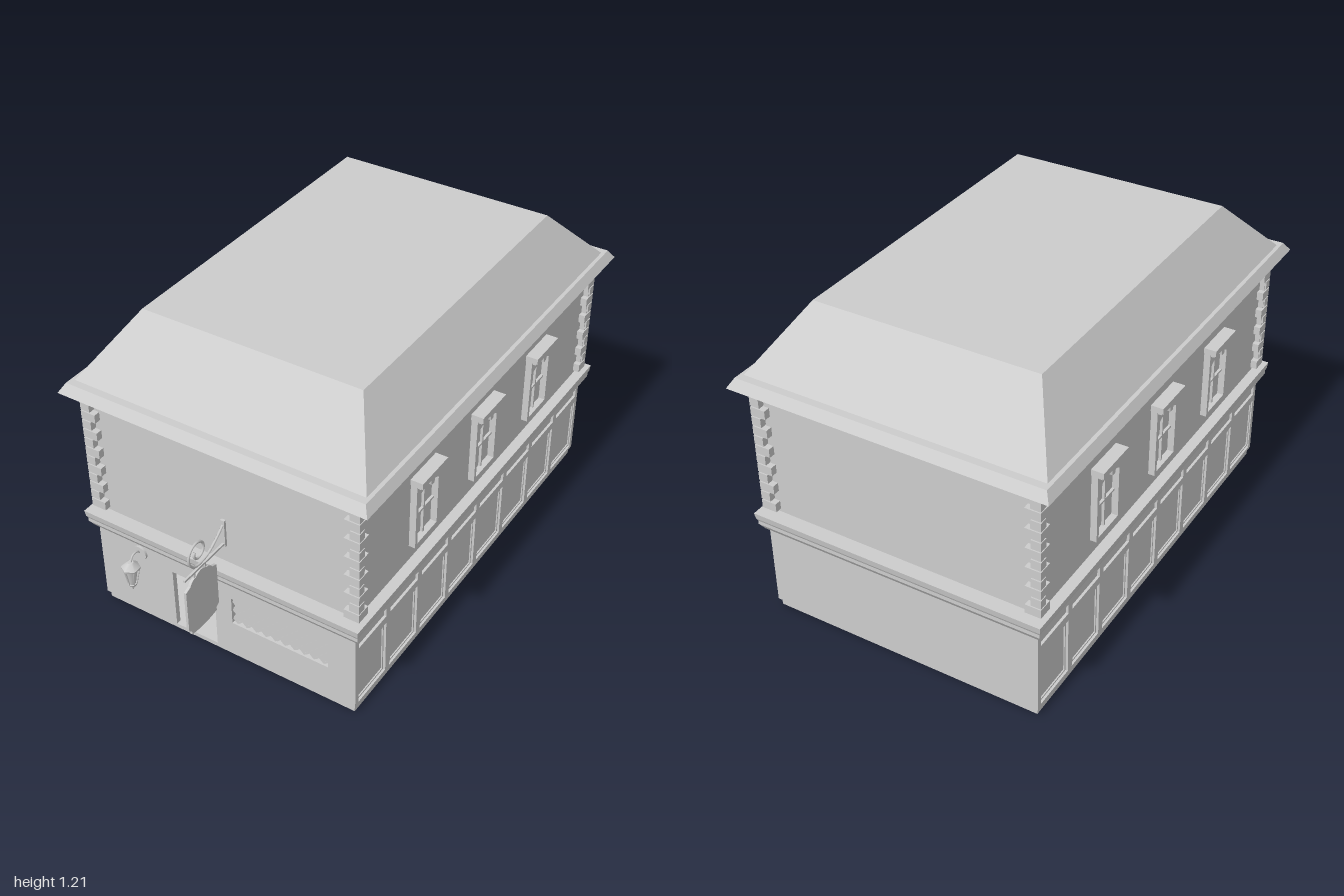
import * as THREE from 'three';

const stone = new THREE.MeshStandardMaterial({ color: 0xcccccc, side: THREE.DoubleSide });
stone.name = 'plain grey';

function add(parent, name, geo, x = 0, y = 0, z = 0) {
  const m = new THREE.Mesh(geo, stone);
  m.name = name;
  m.position.set(x, y, z);
  parent.add(m);
  return m;
}
// box given by its limits
function box(parent, name, x0, x1, y0, y1, z0, z1) {
  return add(parent, name, new THREE.BoxGeometry(x1 - x0, y1 - y0, z1 - z0),
    (x0 + x1) / 2, (y0 + y1) / 2, (z0 + z1) / 2);
}
function group(parent, name, x = 0, y = 0, z = 0) {
  const g = new THREE.Group();
  g.name = name;
  g.position.set(x, y, z);
  parent.add(g);
  return g;
}
function rect(x0, x1, y0, y1, T = THREE.Path) {
  const p = new T();
  p.moveTo(x0, y0); p.lineTo(x1, y0); p.lineTo(x1, y1); p.lineTo(x0, y1); p.closePath();
  return p;
}
const extrude = (shape, depth) => new THREE.ExtrudeGeometry(shape, { depth, bevelEnabled: false, curveSegments: 10 });

// stack of rectangular rings [y, halfX, halfZ], closed at both ends
function loft(rings) {
  const pos = [];
  const corners = ([y, a, b]) => [[-a, y, b], [a, y, b], [a, y, -b], [-a, y, -b]];
  const quad = (a, b, c, d) => pos.push(...a, ...b, ...c, ...a, ...c, ...d);
  for (let i = 0; i < rings.length - 1; i++) {
    const p = corners(rings[i]), q = corners(rings[i + 1]);
    for (let k = 0; k < 4; k++) quad(p[k], p[(k + 1) % 4], q[(k + 1) % 4], q[k]);
  }
  const lo = corners(rings[0]), hi = corners(rings[rings.length - 1]);
  quad(lo[3], lo[2], lo[1], lo[0]);
  quad(...hi);
  const g = new THREE.BufferGeometry();
  g.setAttribute('position', new THREE.Float32BufferAttribute(pos, 3));
  g.computeVertexNormals();
  return g;
}

// side wall: panelled ground floor and three upper windows, facing local +z
function buildSide(parent, dir) {
  const side = group(parent, dir > 0 ? 'leftSide' : 'rightSide');
  side.rotation.y = dir * Math.PI / 2;
  const wall = rect(-0.86, 0.86, 0.03, 0.365, THREE.Shape);
  for (let i = 0; i < 8; i++) {
    const c = (i - 3.5) * 0.2155;
    wall.holes.push(rect(c - 0.094, c + 0.094, 0.042, 0.272), rect(c - 0.094, c + 0.094, 0.303, 0.345));
    const trim = rect(c - 0.086, c + 0.086, 0.05, 0.264, THREE.Shape);
    trim.holes.push(rect(c - 0.08, c + 0.08, 0.056, 0.258));
    add(side, 'panelMoulding', extrude(trim, 0.005), 0, 0, 0.535);
  }
  add(side, 'panelFrame', extrude(wall, 0.02), 0, 0, 0.525);
  box(side, 'panelInfill', -0.855, 0.855, 0.035, 0.36, 0.53, 0.535);
  for (const c of [-0.422, 0, 0.422]) {
    const win = group(side, 'sideWindow', c, 0, 0.53);
    const frame = rect(-0.081, 0.081, 0.5, 0.775, THREE.Shape);
    const arch = new THREE.Path();
    arch.moveTo(-0.067, 0.512); arch.lineTo(0.067, 0.512); arch.lineTo(0.067, 0.715);
    arch.quadraticCurveTo(0, 0.755, -0.067, 0.715); arch.closePath();
    frame.holes.push(arch);
    add(win, 'windowFrame', extrude(frame, 0.03));
    box(win, 'lintel', -0.085, 0.085, 0.772, 0.795, 0, 0.053);
    box(win, 'lintelBed', -0.078, 0.078, 0.762, 0.772, 0, 0.044);
    const key = new THREE.Shape();
    key.moveTo(-0.009, 0.737); key.lineTo(0.009, 0.737); key.lineTo(0.016, 0.775); key.lineTo(-0.016, 0.775);
    add(win, 'keystone', extrude(key, 0.045));
    box(win, 'mullion', -0.004, 0.004, 0.51, 0.737, 0, 0.015);
    box(win, 'transom', -0.067, 0.067, 0.615, 0.623, 0, 0.015);
  }
}

// alternating corner blocks
function buildQuoins(parent, sx, sz) {
  const g = group(parent, 'cornerQuoins', sx * 0.56, 0, sz * 0.865);
  const n = 13, h = 0.505 / n;
  add(g, 'quoinCore', new THREE.BoxGeometry(0.03, 0.505, 0.03), -sx * 0.02, 0.6975, -sz * 0.02);
  for (let i = 0; i < n; i++) {
    const a = i % 2 ? 0.038 : 0.06, b = i % 2 ? 0.032 : 0.056;
    add(g, 'quoin', new THREE.BoxGeometry(a, h - 0.005, b), -sx * a / 2, 0.445 + (i + 0.5) * h, -sz * b / 2);
  }
}

function buildFront(parent) {
  const front = group(parent, 'shopFront');
  const wall = rect(-0.545, 0.545, 0.03, 0.365, THREE.Shape);
  wall.holes.push(rect(-0.22, -0.037, 0.0305, 0.285), rect(0.035, 0.435, 0.168, 0.285));
  add(front, 'frontWall', extrude(wall, 0.02), 0, 0, 0.84);
  box(front, 'latticeBacking', 0.03, 0.44, 0.163, 0.29, 0.835, 0.84);
  // diagonal lattice clipped to the window, mirrored for the second direction
  const w = 0.4, h = 0.117;
  for (const s of [1, -1]) for (let c = -0.1; c < w; c += 0.04) {
    const a = Math.max(0, c), b = Math.min(w, c + h);
    if (b - a < 0.01) continue;
    const bar = add(front, 'latticeBar', new THREE.BoxGeometry((b - a) * Math.SQRT2, 0.006, 0.008),
      0.235 + s * ((a + b) / 2 - w / 2), 0.168 + (a + b) / 2 - c, s > 0 ? 0.846 : 0.849);
    bar.rotation.z = s * Math.PI / 4;
  }
}

function buildInterior(parent) {
  const bar = group(parent, 'barRoom');
  box(bar, 'floor', -0.525, 0.525, 0.015, 0.03, -0.235, 0.845);
  box(bar, 'partitionLeft', 0.3, 0.525, 0.01, 0.365, -0.25, -0.235);
  box(bar, 'partitionRight', -0.525, 0.12, 0.01, 0.365, -0.25, -0.235);
  box(bar, 'partitionHead', 0.12, 0.3, 0.285, 0.365, -0.25, -0.235);
  box(bar, 'counterBody', -0.45, 0.15, 0.03, 0.155, 0.2, 0.3);
  box(bar, 'counterTop', -0.46, 0.16, 0.155, 0.167, 0.19, 0.32);
  box(bar, 'counterRail', -0.45, 0.15, 0.112, 0.122, 0.3, 0.312);
  for (let x = -0.42; x < 0.14; x += 0.1) {
    const panel = rect(x - 0.043, x + 0.043, 0.036, 0.105, THREE.Shape);
    panel.holes.push(rect(x - 0.034, x + 0.034, 0.045, 0.096));
    add(bar, 'counterPanel', extrude(panel, 0.008), 0, 0, 0.3);
  }
  for (let x = -0.43; x < 0.15; x += 0.04) box(bar, 'counterBracket', x, x + 0.006, 0.122, 0.155, 0.3, 0.31);
  box(bar, 'bottleShelf', -0.3, 0.06, 0.185, 0.195, -0.235, -0.12);
  box(bar, 'shelfRail', -0.21, -0.045, 0.195, 0.235, -0.232, -0.225);
  for (let i = 0; i < 7; i++) {
    const r = i === 3 ? 0.017 : 0.011, h = [0.075, 0.08, 0.065, 0.08, 0.055, 0.06, 0.055][i];
    const p = [[0, 0], [r, 0], [r, h * 0.6], [0.004, h * 0.78], [0.004, h], [0, h]];
    add(bar, 'bottle', new THREE.LatheGeometry(p.map(q => new THREE.Vector2(...q)), 10),
      -0.205 + i * 0.025, 0.195, -0.18);
  }
}

// hanging board on a scrolled bracket
function buildSign(root) {
  const sign = group(root, 'hangingSign', 0.02, 0, 0);
  sign.rotation.y = -Math.PI / 2; // local x runs outward, local z across
  const s = new THREE.Shape();
  s.moveTo(0.845, 0.285); s.quadraticCurveTo(0.915, 0.27, 0.985, 0.285); s.lineTo(0.985, 0.3); s.lineTo(1, 0.31);
  s.lineTo(1, 0.485); s.lineTo(0.975, 0.495); s.quadraticCurveTo(0.965, 0.515, 0.945, 0.515);
  s.quadraticCurveTo(0.915, 0.54, 0.885, 0.515); s.quadraticCurveTo(0.865, 0.515, 0.855, 0.495);
  s.lineTo(0.83, 0.485); s.lineTo(0.83, 0.31); s.lineTo(0.845, 0.3); s.closePath();
  add(sign, 'signBoard', extrude(s, 0.01), 0, 0, -0.005);
  box(sign, 'bracketRod', 0.77, 1, 0.533, 0.541, -0.004, 0.004);
  for (const x of [0.885, 0.945]) box(sign, 'signHanger', x - 0.003, x + 0.003, 0.51, 0.536, -0.003, 0.003);
  const pts = [new THREE.Vector3(0.77, 0.625, 0), new THREE.Vector3(0.82, 0.585, 0), new THREE.Vector3(0.87, 0.557, 0)];
  for (let i = 0; i <= 20; i++) {
    const a = -Math.PI / 2 + i * 0.42, r = 0.056 - i * 0.002;
    pts.push(new THREE.Vector3(0.92 + r * Math.cos(a), 0.607 + r * Math.sin(a), 0));
  }
  add(sign, 'scroll', new THREE.TubeGeometry(new THREE.CatmullRomCurve3(pts), 90, 0.005, 6));
  box(sign, 'wallPlate', 0.77, 0.78, 0.525, 0.64, -0.008, 0.008);
}

function buildLantern(root) {
  const l = group(root, 'wallLantern', -0.36, 0, 0.835);
  const hex = (name, rt, rb, y0, y1) => add(l, name, new THREE.CylinderGeometry(rt, rb, y1 - y0, 6), 0, (y0 + y1) / 2, 0);
  hex('lanternCap', 0.012, 0.036, 0.288, 0.31);
  hex('lanternRim', 0.036, 0.034, 0.28, 0.288);
  hex('lanternGlass', 0.024, 0.012, 0.21, 0.28);
  hex('lanternBase', 0.018, 0.014, 0.2, 0.21);
  hex('lanternFinial', 0.008, 0.002, 0.18, 0.2);
  for (let i = 0; i < 6; i++) {
    const a = i * Math.PI / 3;
    const at = (r, y) => new THREE.Vector3(r * Math.sin(a), y, r * Math.cos(a));
    add(l, 'lanternBar', new THREE.TubeGeometry(new THREE.LineCurve3(at(0.031, 0.282), at(0.016, 0.208)), 1, 0.0025, 4));
  }
  const arm = new THREE.CatmullRomCurve3([[0, 0.305, 0], [0, 0.33, -0.015], [0, 0.33, -0.04], [0, 0.31, -0.06]]
    .map(p => new THREE.Vector3(...p)));
  add(l, 'lanternArm', new THREE.TubeGeometry(arm, 16, 0.004, 6));
  add(l, 'lanternRose', new THREE.CylinderGeometry(0.03, 0.03, 0.01, 24), 0, 0.312, -0.056).rotation.x = Math.PI / 2;
}

export function createModel() {
  const root = new THREE.Group();
  root.name = 'tavern';
  const house = group(root, 'house', 0, 0, -0.085);
  // plinth ring
  for (const s of [-1, 1]) {
    add(house, 'plinthSide', new THREE.BoxGeometry(0.02, 0.03, 1.7), s * 0.527, 0.015, 0);
    add(house, 'plinthEnd', new THREE.BoxGeometry(1.074, 0.03, 0.02), 0, 0.015, s * 0.84);
    buildSide(house, s);
    for (const z of [-1, 1]) buildQuoins(house, s, z);
  }
  buildFront(house);
  box(house, 'backWall', -0.545, 0.545, 0.03, 0.365, -0.86, -0.84);
  buildInterior(house);
  add(house, 'cornice', loft([[0.36, 0.553, 0.872], [0.385, 0.568, 0.888], [0.4, 0.568, 0.888],
    [0.41, 0.572, 0.893], [0.435, 0.575, 0.897]]));
  box(house, 'upperWalls', -0.535, 0.535, 0.435, 0.952, -0.84, 0.84);
  add(house, 'eaves', loft([[0.95, 0.613, 0.91], [0.985, 0.592, 0.885]]));
  add(house, 'roof', loft([[0.984, 0.578, 0.857], [1.205, 0.434, 0.645]]));
  buildSign(root);
  buildLantern(root);
  return root;
}
